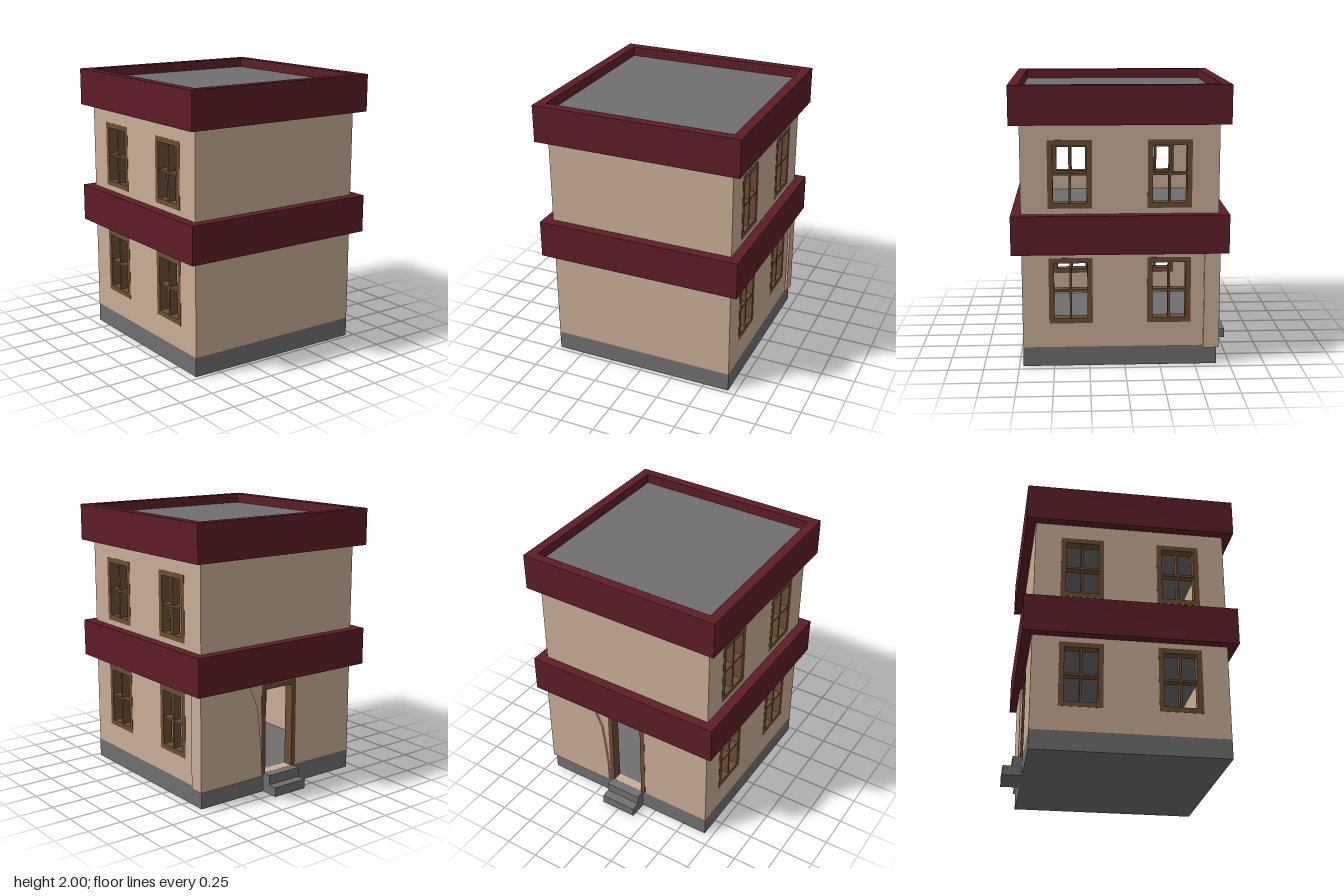
import * as THREE from 'three';

const CX = 0.033, HW = 0.688, HD = 0.69, T = 0.07; // house centre, half sizes, wall thickness
const BASE = 0.14, WALL_TOP = 1.73, OVER = 0.07;

const paint = (color) => new THREE.MeshStandardMaterial({ color, flatShading: true });

function rect(Type, x0, x1, y0, y1) {
  const p = new Type();
  p.moveTo(x0, y0);
  p.lineTo(x1, y0);
  p.lineTo(x1, y1);
  p.lineTo(x0, y1);
  p.closePath();
  return p;
}

// plate in the xy plane, from z = 0 to z = depth, with rectangular holes
function plate(outline, holes, depth) {
  const s = rect(THREE.Shape, ...outline);
  holes.forEach((h) => s.holes.push(rect(THREE.Path, ...h)));
  return new THREE.ExtrudeGeometry(s, { depth, bevelEnabled: false });
}

export function createModel() {
  const house = new THREE.Group();
  house.name = 'house';
  const stone = paint(0x707070), plaster = paint(0xc9ae97);
  const red = paint(0x5e1d26), wood = paint(0x6b4e35);

  const add = (name, geo, mat, parent = house) => {
    const m = new THREE.Mesh(geo, mat);
    m.name = name;
    parent.add(m);
    return m;
  };
  const box = (name, mat, x0, x1, y0, y1, z0, z1, parent) => {
    const m = add(name, new THREE.BoxGeometry(x1 - x0, y1 - y0, z1 - z0), mat, parent);
    m.position.set((x0 + x1) / 2, (y0 + y1) / 2, (z0 + z1) / 2);
    return m;
  };

  // foundation and entrance steps
  box('foundation', stone, CX - HW, CX + HW, 0, BASE, -HD, HD);
  box('upperStep', stone, -0.725, CX - HW, 0, BASE, -0.14, 0.137);
  box('lowerStep', stone, -0.793, -0.725, 0, 0.07, -0.14, 0.137);

  // front and back walls with two windows on each storey
  const windows = [];
  for (const y of [0.315, 1.145])
    for (const x of [-0.312, 0.38]) windows.push([x - 0.154, x + 0.154, y, y + 0.476]);

  for (const [name, z] of [['front', HD - T], ['back', -HD]]) {
    const wall = add(name + 'Wall', plate([CX - HW, CX + HW, BASE, WALL_TOP], windows, T), plaster);
    wall.position.z = z;
    for (const [x0, x1, y0, y1] of windows) {
      const win = new THREE.Group();
      win.name = name + 'Window';
      win.position.z = z;
      house.add(win);
      const f = 0.037;
      const frame = add('windowFrame',
        plate([x0, x1, y0, y1], [[x0 + f, x1 - f, y0 + f, y1 - f]], T + 0.004), wood, win);
      frame.position.z = -0.002;
      const xm = (x0 + x1) / 2, ym = (y0 + y1) / 2;
      box('verticalBar', wood, xm - 0.008, xm + 0.008, y0 + f, y1 - f, 0.005, T - 0.005, win);
      box('horizontalBar', wood, x0 + f, x1 - f, ym - 0.008, ym + 0.008, 0.005, T - 0.005, win);
    }
  }

  // plain side wall
  box('leftWall', plaster, CX + HW - T, CX + HW, BASE, WALL_TOP, -HD + T, HD - T);

  // side wall with doorway: plate x becomes z, plate depth runs towards -x
  const door = [-0.16, 0.16, BASE, 0.8];
  const doorWall = add('rightWall',
    plate([-HD + T, HD - T, BASE, WALL_TOP], [[-0.16, 0.16, BASE + 0.0005, 0.8]], T), plaster);
  doorWall.rotation.y = -Math.PI / 2;
  doorWall.position.x = CX - HW + T;

  // door frame, open at the bottom
  const arch = new THREE.Shape();
  const f = 0.037;
  [[door[0], BASE], [door[0] + f, BASE], [door[0] + f, 0.8 - f], [door[1] - f, 0.8 - f],
    [door[1] - f, BASE], [door[1], BASE], [door[1], 0.8], [door[0], 0.8]]
    .forEach(([x, y], i) => (i ? arch.lineTo(x, y) : arch.moveTo(x, y)));
  const doorFrame = add('doorFrame',
    new THREE.ExtrudeGeometry(arch, { depth: T + 0.004, bevelEnabled: false }), wood);
  doorFrame.rotation.y = -Math.PI / 2;
  doorFrame.position.x = CX - HW + T + 0.002;

  // thin plaster layer wrapping the corner beside the door, with an uneven edge
  const patch = new THREE.Shape();
  [[-0.705, 0.125], [-0.165, 0.125], [-0.17, 0.3], [-0.19, 0.5], [-0.21, 0.65],
    [-0.25, 0.74], [-0.29, 0.835], [-0.705, 0.835]]
    .forEach(([x, y], i) => (i ? patch.lineTo(x, y) : patch.moveTo(x, y)));
  const sidePatch = add('sidePlasterLayer',
    new THREE.ExtrudeGeometry(patch, { depth: 0.016, bevelEnabled: false }), plaster);
  sidePatch.rotation.y = -Math.PI / 2;
  sidePatch.position.x = CX - HW;
  box('backPlasterLayer', plaster, CX - HW, -0.56, 0.125, 0.835, -0.705, -HD);

  // upper floor and sunken roof
  box('upperFloor', stone, CX - HW + T, CX + HW - T, 0.83, 1.03, -HD + T, HD - T);
  box('roof', stone, CX - HW, CX + HW, WALL_TOP, 1.93, -HD, HD);

  // overhanging bands around each storey
  for (const [name, y, h] of [['middleBand', 0.83, 0.275], ['roofBand', WALL_TOP, 0.27]]) {
    const band = add(name, plate(
      [CX - HW - OVER, CX + HW + OVER, -HD - OVER, HD + OVER],
      [[CX - HW, CX + HW, -HD, HD]], h), red);
    band.rotation.x = -Math.PI / 2;
    band.position.y = y;
  }

  return house;
}
